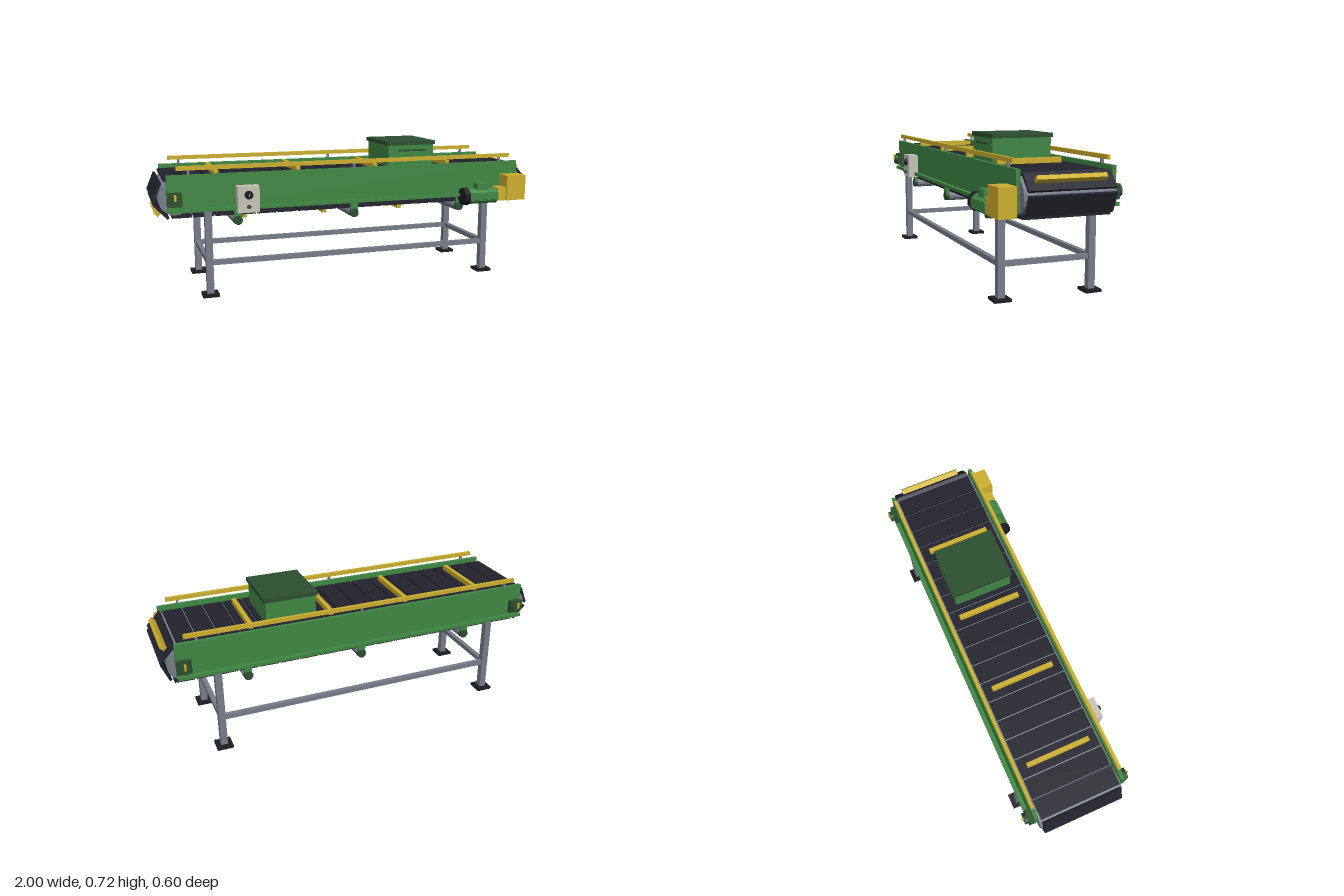
import * as THREE from 'three';

const mat = (name, color) => {
  const m = new THREE.MeshStandardMaterial({ color });
  m.name = name;
  return m;
};

export function createModel() {
  const root = new THREE.Group();
  root.name = 'slatConveyor';
  const body = new THREE.Group();
  body.name = 'conveyor';
  body.position.z = -0.02; // the drive on one side shifts the frame back
  root.add(body);

  const green = mat('green paint', 0x3f8843);
  const darkGreen = mat('dark green', 0x2c4f30);
  const yellow = mat('safety yellow', 0xcdb02e);
  const slatBlack = mat('slat black', 0x23232e);
  const rubber = mat('rubber black', 0x1c1c22);
  const steel = mat('steel grey', 0x777e8a);
  const beige = mat('enclosure beige', 0xc8c4b8);

  const add = (name, geo, m, x, y, z, parent = body) => {
    const mesh = new THREE.Mesh(geo, m);
    mesh.name = name;
    mesh.position.set(x, y, z);
    parent.add(mesh);
    return mesh;
  };
  const box = (name, m, w, h, d, x, y, z, parent) =>
    add(name, new THREE.BoxGeometry(w, h, d), m, x, y, z, parent);
  // Cylinder lying along the z or x axis
  const rod = (name, m, r, len, sides, axis, x, y, z, parent) => {
    const g = new THREE.CylinderGeometry(r, r, len, sides).toNonIndexed();
    g.rotateY(Math.PI / sides);
    if (axis === 'z') g.rotateX(Math.PI / 2);
    else g.rotateZ(Math.PI / 2);
    g.computeVertexNormals();
    return add(name, g, m, x, y, z, parent);
  };

  // Belt of separate slats running round the two end drums
  const HX = 0.895, CY = 0.487, R = 0.09, COUNT = 40;
  const straight = 2 * HX, arc = Math.PI * R, total = 2 * (straight + arc);
  const pathAt = (s) => {
    s = ((s % total) + total) % total;
    if (s < straight) return { x: s - HX, y: CY + R, a: 0 };
    s -= straight;
    if (s < arc) {
      const a = s / R;
      return { x: HX + R * Math.sin(a), y: CY + R * Math.cos(a), a };
    }
    s -= arc;
    if (s < straight) return { x: HX - s, y: CY - R, a: Math.PI };
    const a = Math.PI + (s - straight) / R;
    return { x: -HX + R * Math.sin(a), y: CY + R * Math.cos(a), a };
  };
  const slatGeo = new THREE.BoxGeometry(0.095, 0.012, 0.41);
  const cleatGeo = new THREE.BoxGeometry(0.022, 0.026, 0.326);
  for (let i = 0; i < COUNT; i++) {
    const p = pathAt(HX - 0.69 + (i * total) / COUNT);
    const link = new THREE.Group();
    link.name = 'beltLink';
    link.position.set(p.x, p.y, 0);
    link.rotation.z = -p.a;
    body.add(link);
    add('slat', slatGeo, slatBlack, 0, 0, 0, link);
    if (i % 4 === 0) add('cleat', cleatGeo, yellow, 0, 0.019, 0, link);
  }

  // End drums and the bed carrying the upper run
  for (const x of [-HX, HX]) rod('endDrum', steel, 0.079, 0.432, 20, 'z', x, CY, 0);
  box('beltBed', steel, 1.68, 0.012, 0.432, 0, 0.556, 0);

  // Side frames, guide rails, legs and hangers, mirrored front to back
  for (const s of [-1, 1]) {
    box('sidePanel', green, 1.87, 0.178, 0.019, 0, 0.513, s * 0.225);
    box('sideFlange', green, 1.87, 0.016, 0.022, 0, 0.432, s * 0.245);
    box('guideRail', yellow, 1.776, 0.02, 0.016, 0, 0.633, s * 0.225);
    for (const x of [-0.83, 0, 0.83])
      box('railPost', steel, 0.012, 0.026, 0.012, x, 0.612, s * 0.225);
    for (const x of [-0.745, 0.745]) {
      box('leg', steel, 0.034, 0.412, 0.034, x, 0.219, s * 0.225);
      box('footPlate', rubber, 0.08, 0.014, 0.08, x, 0.007, s * 0.225);
    }
    box('longStretcher', steel, 1.456, 0.024, 0.024, 0, 0.166, s * 0.225);
    for (const x of [-0.6, 0, 0.597]) {
      box('rollerBracket', green, 0.036, 0.06, 0.016, x, 0.396, s * 0.223);
      rod('rollerCap', darkGreen, 0.023, 0.018, 12, 'z', x, 0.368, s * 0.224);
    }
  }
  for (const x of [-0.745, 0.745])
    box('crossStretcher', steel, 0.024, 0.024, 0.416, x, 0.166, 0);
  for (const x of [-0.6, 0, 0.597])
    rod('returnRoller', steel, 0.0235, 0.43, 12, 'z', x, 0.367, 0);

  // Bearing blocks with a yellow marker, on every drum end but the driven one
  for (const [x, s] of [[-0.9, 1], [-0.9, -1], [0.9, -1]]) {
    const bearing = new THREE.Group();
    bearing.name = 'bearing';
    bearing.position.set(x, CY, 0);
    body.add(bearing);
    box('bearingBlock', darkGreen, 0.068, 0.068, 0.022, 0, 0, s * 0.245, bearing);
    rod('bearingHub', darkGreen, 0.028, 0.018, 12, 'z', 0, 0, s * 0.265, bearing);
    box('bearingMarker', yellow, 0.01, 0.032, 0.008, 0, 0.014, s * 0.278, bearing);
  }

  // Inlet hood with lid and handle
  box('hoodBody', green, 0.256, 0.115, 0.302, 0.345, 0.643, 0);
  box('hoodLid', darkGreen, 0.274, 0.02, 0.314, 0.345, 0.708, 0);
  box('hoodHandle', darkGreen, 0.16, 0.009, 0.009, 0.35, 0.67, 0.1545);

  // Drive: gearbox, motor with fan cover and terminal box
  const drive = new THREE.Group();
  drive.name = 'drive';
  drive.position.z = 0.276;
  body.add(drive);
  box('gearbox', yellow, 0.112, 0.133, 0.084, 0.889, 0.4665, 0, drive);
  box('gearboxNeck', yellow, 0.05, 0.07, 0.07, 0.808, 0.435, 0, drive);
  rod('motorBody', green, 0.042, 0.168, 8, 'x', 0.702, 0.427, 0, drive);
  for (let i = 0; i < 4; i++)
    box('motorFin', green, 0.15, 0.004, 0.084, 0.702, 0.407 + i * 0.0133, 0, drive);
  rod('fanCover', rubber, 0.047, 0.03, 8, 'x', 0.604, 0.428, 0, drive);
  box('terminalBox', green, 0.07, 0.036, 0.045, 0.702, 0.478, 0, drive);

  // Control box with stop knob and start button
  box('controlBox', beige, 0.107, 0.129, 0.054, -0.556, 0.478, 0.262);
  rod('knobBase', rubber, 0.021, 0.008, 16, 'z', -0.556, 0.5, 0.292);
  rod('stopKnob', rubber, 0.012, 0.012, 12, 'z', -0.556, 0.5, 0.299);
  box('knobMarker', yellow, 0.005, 0.014, 0.002, -0.556, 0.502, 0.306);
  rod('startButton', darkGreen, 0.01, 0.008, 12, 'z', -0.556, 0.443, 0.292);

  return root;
}
